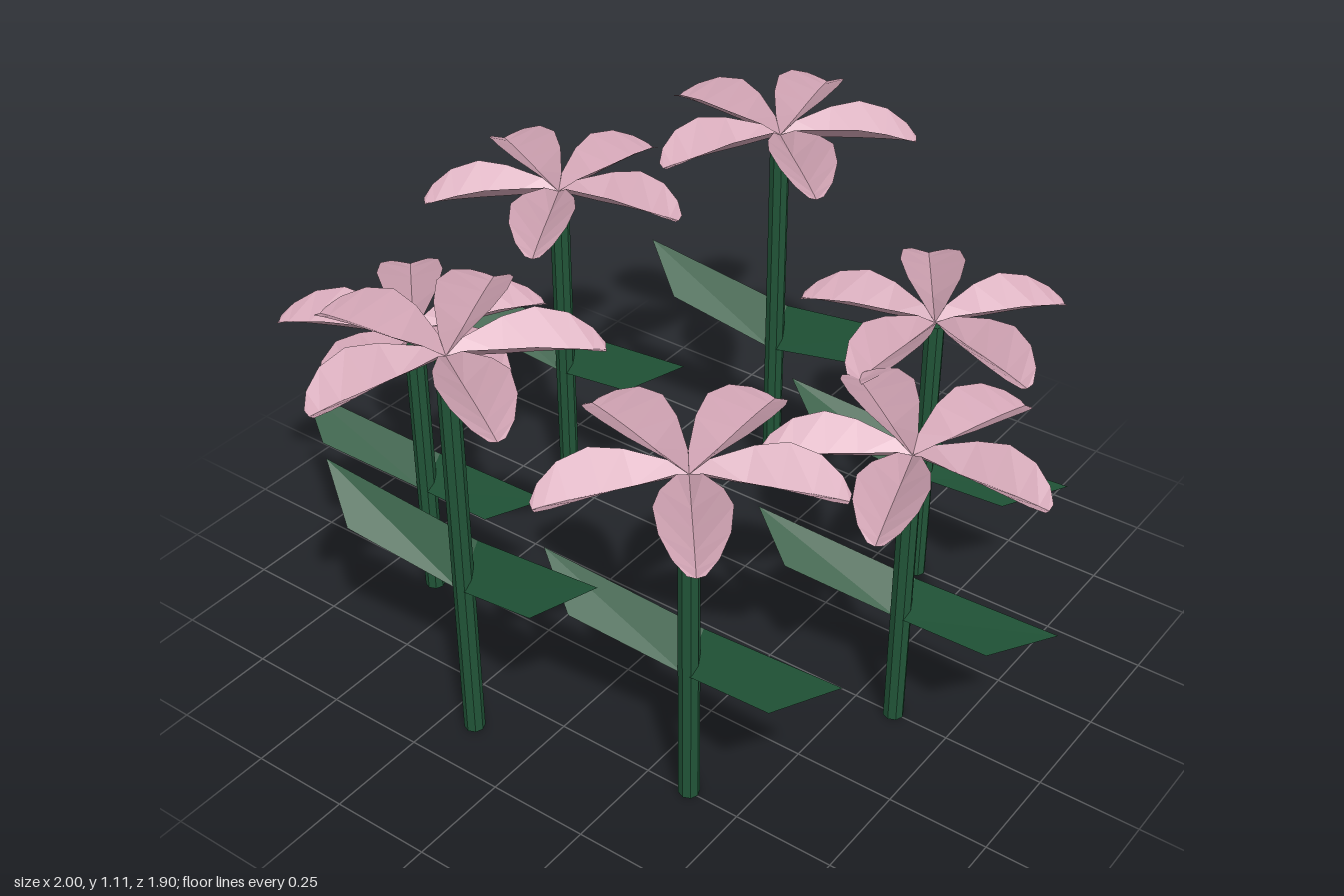
import * as THREE from 'three';

const petalMat = new THREE.MeshStandardMaterial({ color: 0xd0a3b3, flatShading: true, side: THREE.DoubleSide });
const greenMat = new THREE.MeshStandardMaterial({ color: 0x215538, flatShading: true, side: THREE.DoubleSide });

function buildGeometry(points, index) {
  const g = new THREE.BufferGeometry();
  g.setAttribute('position', new THREE.Float32BufferAttribute(points.flat(), 3));
  g.setIndex(index);
  g.computeVertexNormals();
  return g;
}

// Keeled petal along +x, its edges raised above the flat midline:
// rows of [radius, half width, midline height, edge height]
function petalGeometry() {
  const rows = [
    [0, 0, 0, 0],
    [0.037, 0.0268, 0, 0.028],
    [0.12, 0.064, 0, 0.052],
    [0.19, 0.08, 0.002, 0.063],
    [0.26, 0.071, 0.002, 0.05],
    [0.31, 0.046, 0, 0.025],
    [0.335, 0.018, -0.002, 0.004],
  ];
  const points = [], index = [];
  rows.forEach(([r, w, mid, edge], i) => {
    points.push([r, edge, -w], [r, mid, 0], [r, edge, w]);
    if (i === 0) return;
    const a = (i - 1) * 3, b = a + 3;
    index.push(a, a + 1, b + 1, a, b + 1, b);
    index.push(a + 1, a + 2, b + 1, a + 2, b + 2, b + 1);
  });
  return buildGeometry(points, index);
}

// Leaf rising sideways from the stem, its back edge higher than the front
function leafGeometry(side, h) {
  const points = [
    [0, 0.405 * h, 0.015],
    [0.267 * side, 0.5 * h, 0.085],
    [0.395 * side, 0.592 * h, 0.008],
    [0, 0.5 * h, -0.055],
  ];
  return buildGeometry(points, side > 0 ? [0, 1, 2, 0, 2, 3] : [0, 2, 1, 0, 3, 2]);
}

function addMesh(parent, name, geometry, material) {
  const mesh = new THREE.Mesh(geometry, material);
  mesh.name = name;
  parent.add(mesh);
  return mesh;
}

export function createModel() {
  const model = new THREE.Group();
  model.name = 'flowerRing';
  const petal = petalGeometry();
  const heights = [0.755, 0.895, 1.04];
  const count = 7, ringRadius = 0.6365;

  for (let i = 0; i < count; i++) {
    const angle = (i / count) * Math.PI * 2;
    const h = heights[i % 3];
    const flower = new THREE.Group();
    flower.name = 'flower';
    flower.position.set(-0.0315 + ringRadius * Math.cos(angle), 0, ringRadius * Math.sin(angle));

    // Stem and its pair of leaves
    const stem = addMesh(flower, 'stem', new THREE.CylinderGeometry(0.025, 0.025, h, 8), greenMat);
    stem.position.y = h / 2;
    addMesh(flower, 'leftLeaf', leafGeometry(1, h), greenMat);
    addMesh(flower, 'rightLeaf', leafGeometry(-1, h), greenMat);

    // Five-petal blossom, one petal pointing outward from the ring
    const blossom = new THREE.Group();
    blossom.name = 'blossom';
    blossom.position.y = h + 0.002;
    blossom.rotation.y = -angle;
    for (let k = 0; k < 5; k++) {
      addMesh(blossom, 'petal', petal, petalMat).rotation.y = (k / 5) * Math.PI * 2;
    }
    flower.add(blossom);
    model.add(flower);
  }
  return model;
}
